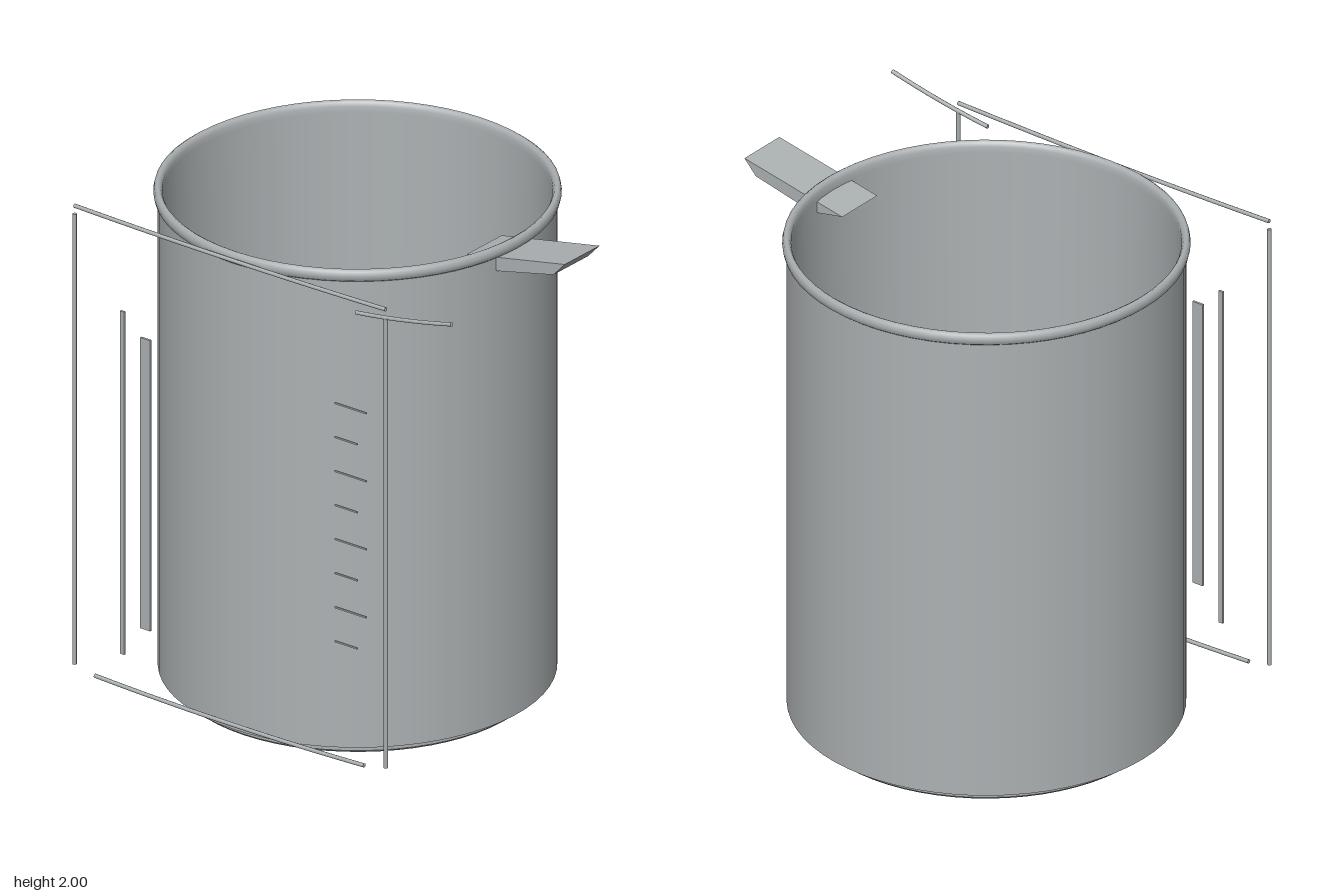
import * as THREE from 'three';

export function createModel() {
  const group = new THREE.Group();
  const glass = new THREE.MeshStandardMaterial({ color: 0xacb1b3 });
  glass.name = 'grey glass';
  const CX = -0.157, CZ = -0.013, FRONT = 0.743;

  const add = (name, geometry, x = 0, y = 0, z = 0) => {
    const mesh = new THREE.Mesh(geometry, glass);
    mesh.name = name;
    mesh.position.set(x, y, z);
    group.add(mesh);
    return mesh;
  };

  // Each profile span is its own lathe, so the edges between spans stay sharp
  const lathe = (name, spans) => spans.forEach((span) =>
    add(name, new THREE.LatheGeometry(span.map(([r, y]) => new THREE.Vector2(r, y)), 64), CX, 0, CZ));

  // Hollow wall: underside, outside, top and slightly tapered inside
  lathe('wall', [
    [[0.695, 0.045], [0.732, 0.045]],
    [[0.732, 0.045], [0.732, 1.94]],
    [[0.732, 1.94], [0.715, 1.94]],
    [[0.715, 1.94], [0.695, 0.045]],
  ]);

  // Rounded rim around the mouth
  lathe('rim', [[
    [0.715, 1.935], [0.735, 1.93], [0.744, 1.937], [0.748, 1.955], [0.744, 1.972],
    [0.733, 1.98], [0.722, 1.974], [0.715, 1.96], [0.715, 1.935],
  ]]);

  // Base disc with a small bevel, just clear of the wall
  lathe('base', [
    [[0, 0], [0.672, 0]],
    [[0.672, 0], [0.682, 0.01]],
    [[0.682, 0.01], [0.682, 0.05]],
    [[0.682, 0.05], [0, 0.05]],
  ]);

  // Pouring spout: a wedge that passes through the wall
  const wedge = new THREE.Shape([
    [0.432, 1.905], [0.575, 1.878], [0.835, 1.938], [0.888, 1.995],
  ].map(([x, y]) => new THREE.Vector2(x, y)));
  add('spout', new THREE.ExtrudeGeometry(wedge, { depth: 0.206, bevelEnabled: false }), 0, 0, -0.118);

  // Thin outline rods in front of the vessel
  const rod = (name, points) => {
    const curve = new THREE.QuadraticBezierCurve3(
      ...points.map(([x, y]) => new THREE.Vector3(x, y, FRONT)));
    add(name, new THREE.TubeGeometry(curve, 16, 0.008, 8));
    // Flat caps close both ends
    for (const [t, sign] of [[0, -1], [1, 1]]) {
      const cap = add(name + 'Cap', new THREE.CircleGeometry(0.008, 8));
      const p = curve.getPoint(t);
      cap.position.copy(p);
      cap.lookAt(p.clone().addScaledVector(curve.getTangent(t), sign));
    }
  };
  rod('rightOutline', [[-0.88, 0.11], [-0.88, 1.02], [-0.88, 1.93]]);
  rod('leftOutline', [[0.57, 0.11], [0.57, 1.02], [0.57, 1.93]]);
  rod('topOutline', [[-0.88, 1.962], [-0.157, 1.945], [0.57, 1.962]]);
  rod('bottomOutline', [[-0.785, 0.09], [-0.157, 0.065], [0.47, 0.09]]);
  rod('spoutOutline', [[0.432, 1.91], [0.65, 1.935], [0.877, 1.99]]);

  // Upright highlight strips
  add('narrowHighlight', new THREE.BoxGeometry(0.02, 1.385, 0.009), -0.66, 0.905, 0.738);
  add('wideHighlight', new THREE.BoxGeometry(0.046, 1.175, 0.009), -0.555, 0.9275, 0.734);

  // Measuring marks, alternately long and short
  for (let i = 0; i < 8; i++) {
    const width = i % 2 ? 0.105 : 0.147;
    add('measuringMark', new THREE.BoxGeometry(width, 0.006, 0.006), 0.325 + width / 2, 1.51 - i * 0.1375, 0.733);
  }

  return group;
}
